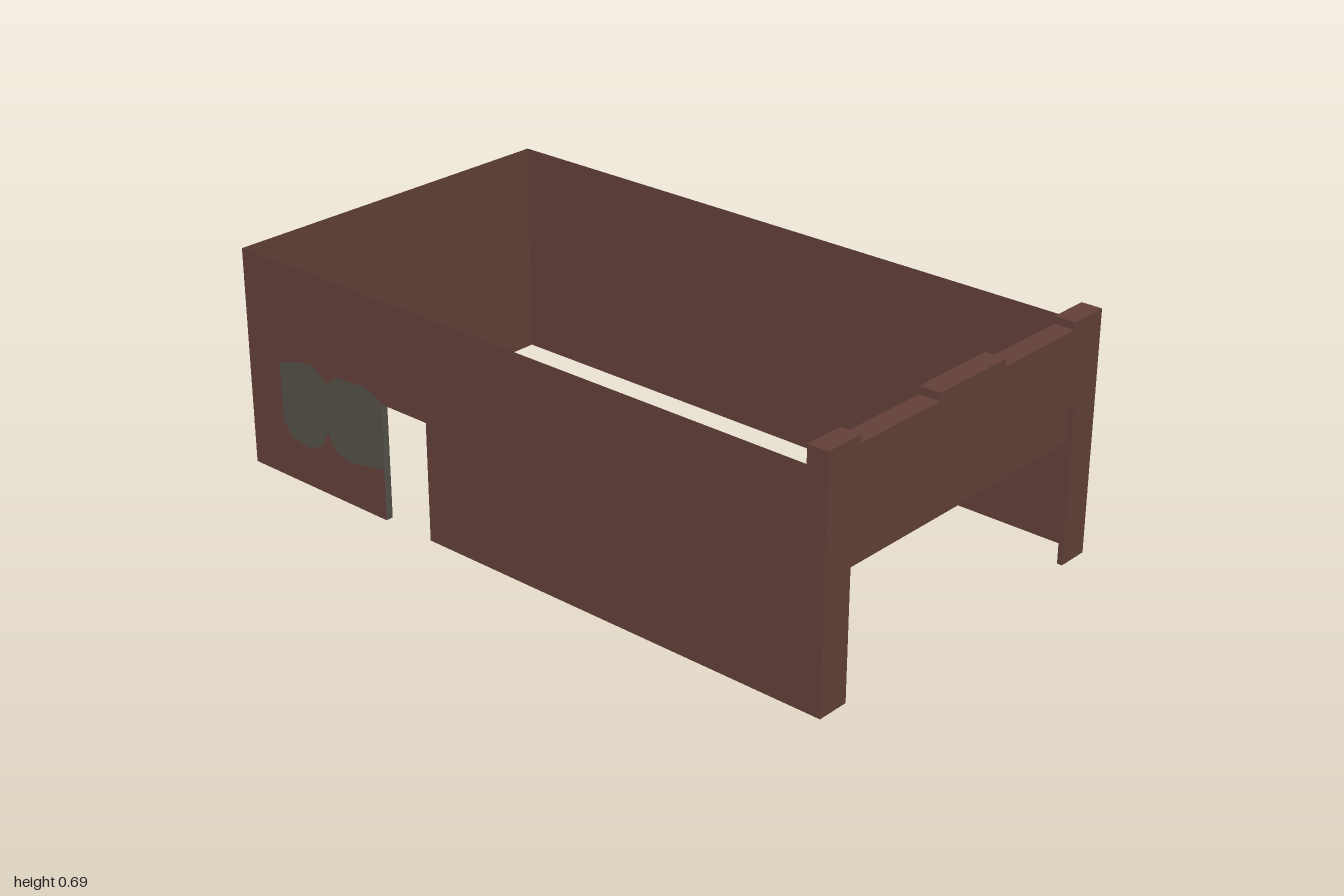
import * as THREE from 'three';

const W = 0.543, D = 1, H = 0.635;          // half width, half depth, wall height
const CAP_Y = 0.664, MERLON_Y = 0.685, CAP_D = 0.06;

export function createModel() {
  const model = new THREE.Group();
  const brick = new THREE.MeshStandardMaterial({ name: 'brick brown', color: 0x65413a, side: THREE.DoubleSide });
  const grey = new THREE.MeshStandardMaterial({ name: 'stone grey', color: 0x56524a, side: THREE.DoubleSide });

  const add = (name, geometry, material, x = 0, y = 0, z = 0) => {
    const mesh = new THREE.Mesh(geometry, material);
    mesh.name = name;
    mesh.position.set(x, y, z);
    model.add(mesh);
    return mesh;
  };
  const outline = (points) => new THREE.Shape(points.map(([x, y]) => new THREE.Vector2(x, y)));
  // Flat sheet outlined in (x, y)
  const sheet = (name, points, material, z) =>
    add(name, new THREE.ShapeGeometry(outline(points)), material, 0, 0, z);
  // Flat sheet outlined in (z, y)
  const sideSheet = (name, points, material, x) => {
    const mesh = add(name, new THREE.ShapeGeometry(outline(points)), material, x);
    mesh.rotation.y = -Math.PI / 2;
    return mesh;
  };
  // Horizontal sheet
  const ledge = (name, w, d, material, x, y, z) => {
    add(name, new THREE.PlaneGeometry(w, d), material, x, y, z).rotation.x = -Math.PI / 2;
  };
  const rect = (a, b, bottom, top) => [[a, bottom], [b, bottom], [b, top], [a, top]];
  // Rectangle with an opening reaching the ground
  const archway = (a, b, top, c, d, openTop) =>
    [[a, 0], [c, 0], [c, openTop], [d, openTop], [d, 0], [b, 0], [b, top], [a, top]];

  // Plain walls
  sheet('backWall', rect(-W, W, 0, H), brick, -D);
  sideSheet('leftWall', rect(-D, D, 0, H), brick, W);

  // Front wall with a wide opening, its reveals and the set-back header panel
  const gate = 0.448, gateTop = 0.456, panelBottom = 0.345, recess = 0.015;
  sheet('frontWall', archway(-W, W, H, -gate, gate, gateTop), brick, D);
  sheet('gateHeader', rect(-gate, gate, panelBottom, gateTop), brick, D - recess);
  ledge('gateTopReveal', gate * 2, recess, brick, 0, gateTop, D - recess / 2);
  for (const s of [-1, 1]) {
    sideSheet('gateReveal', rect(D - recess, D, 0, gateTop), brick, s * gate);
  }

  // Parapet cap and raised blocks
  const block = (name, a, b, bottom, top) =>
    add(name, new THREE.BoxGeometry(b - a, top - bottom, CAP_D), brick,
      (a + b) / 2, (bottom + top) / 2, D - CAP_D / 2);
  block('parapet', -W, W, H, CAP_Y);
  for (const [a, b] of [[-W, -0.425], [-0.131, 0.131], [0.425, W]]) {
    block('parapetBlock', a, b, CAP_Y, MERLON_Y);
  }

  // Right wall with a doorway and its grey reveals
  const doorBack = -0.47, doorFront = -0.3, doorTop = 0.34, depth = 0.022;
  sideSheet('rightWall', archway(-D, D, H, doorBack, doorFront, doorTop), brick, -W);
  ledge('doorLintel', depth, doorFront - doorBack, grey, -W + depth / 2, doorTop, (doorBack + doorFront) / 2);
  for (const z of [doorBack, doorFront]) {
    sheet('doorReveal', rect(-W, -W + depth, 0, doorTop), grey, z);
  }

  // Grey two-lobed patch beside the door, on both faces of the wall
  const patch = [
    [-0.47, 0.15], [-0.47, 0.35], [-0.53, 0.37], [-0.64, 0.365], [-0.68, 0.33],
    [-0.73, 0.37], [-0.79, 0.365], [-0.87, 0.34], [-0.87, 0.165], [-0.83, 0.125],
    [-0.76, 0.115], [-0.71, 0.145], [-0.685, 0.19], [-0.66, 0.145], [-0.61, 0.125],
  ];
  for (const s of [-1, 1]) sideSheet('wallPatch', patch, grey, -W + s * 0.002);

  return model;
}
